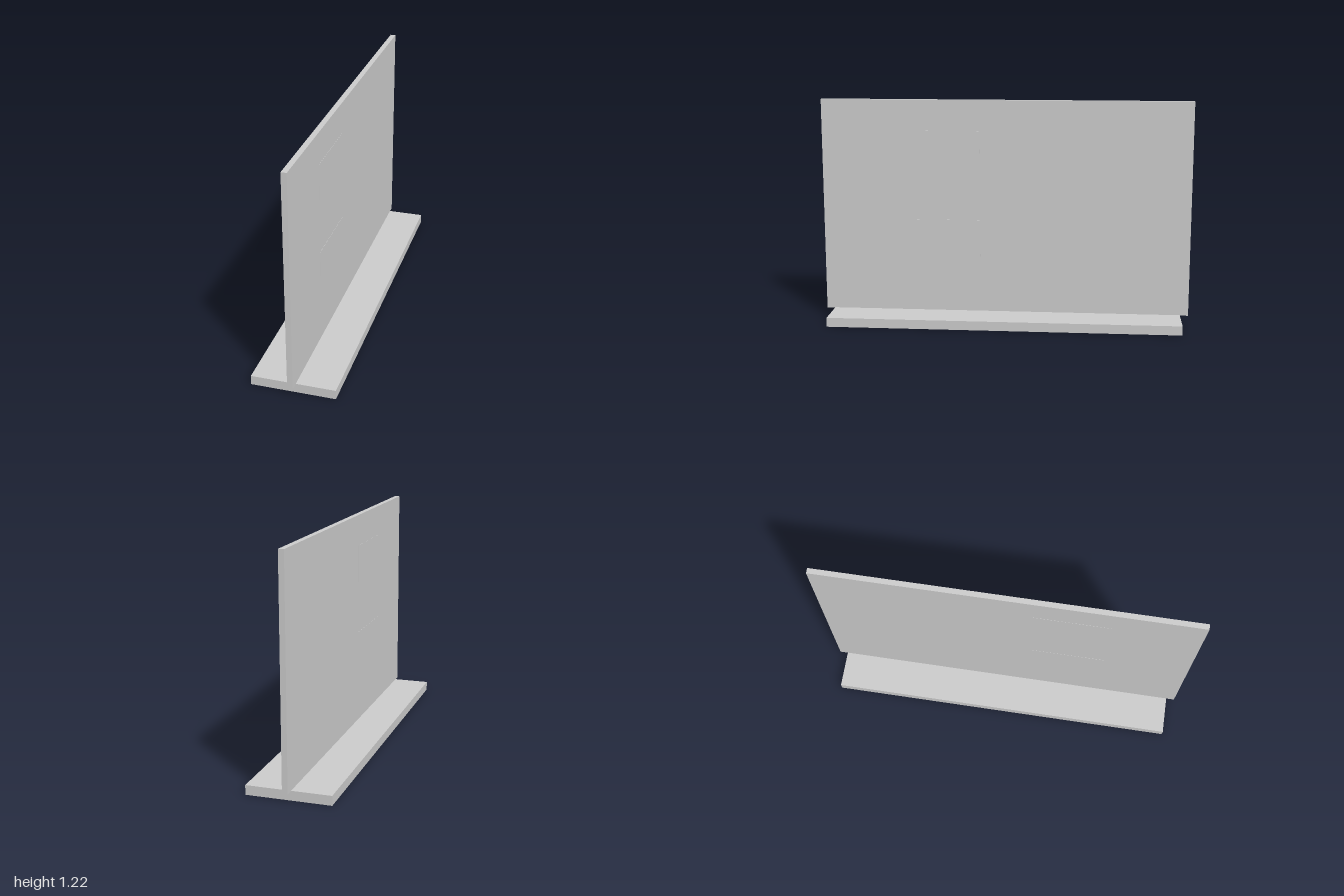
import * as THREE from 'three';

export function createModel() {
  const model = new THREE.Group();
  model.name = 'standingPanel';
  const material = new THREE.MeshStandardMaterial({ color: 0xcccccc, flatShading: true });

  // Box given by its size and its bottom centre
  function addBox(name, [w, h, d], [x, y, z]) {
    const mesh = new THREE.Mesh(new THREE.BoxGeometry(w, h, d), material);
    mesh.name = name;
    mesh.position.set(x, y + h / 2, z);
    model.add(mesh);
  }

  // Foot plate and the upright board on it
  addBox('base', [0.44, 0.05, 1.91], [0, 0, 0]);
  addBox('board', [0.029, 1.167, 2], [0, 0.048, 0]);

  // Two plates through the board, barely proud of both faces
  addBox('lowerPlate', [0.031, 0.203, 0.4], [0, 0.358, 0.338]);
  addBox('upperPlate', [0.031, 0.203, 0.4], [0, 0.845, 0.338]);

  return model;
}
